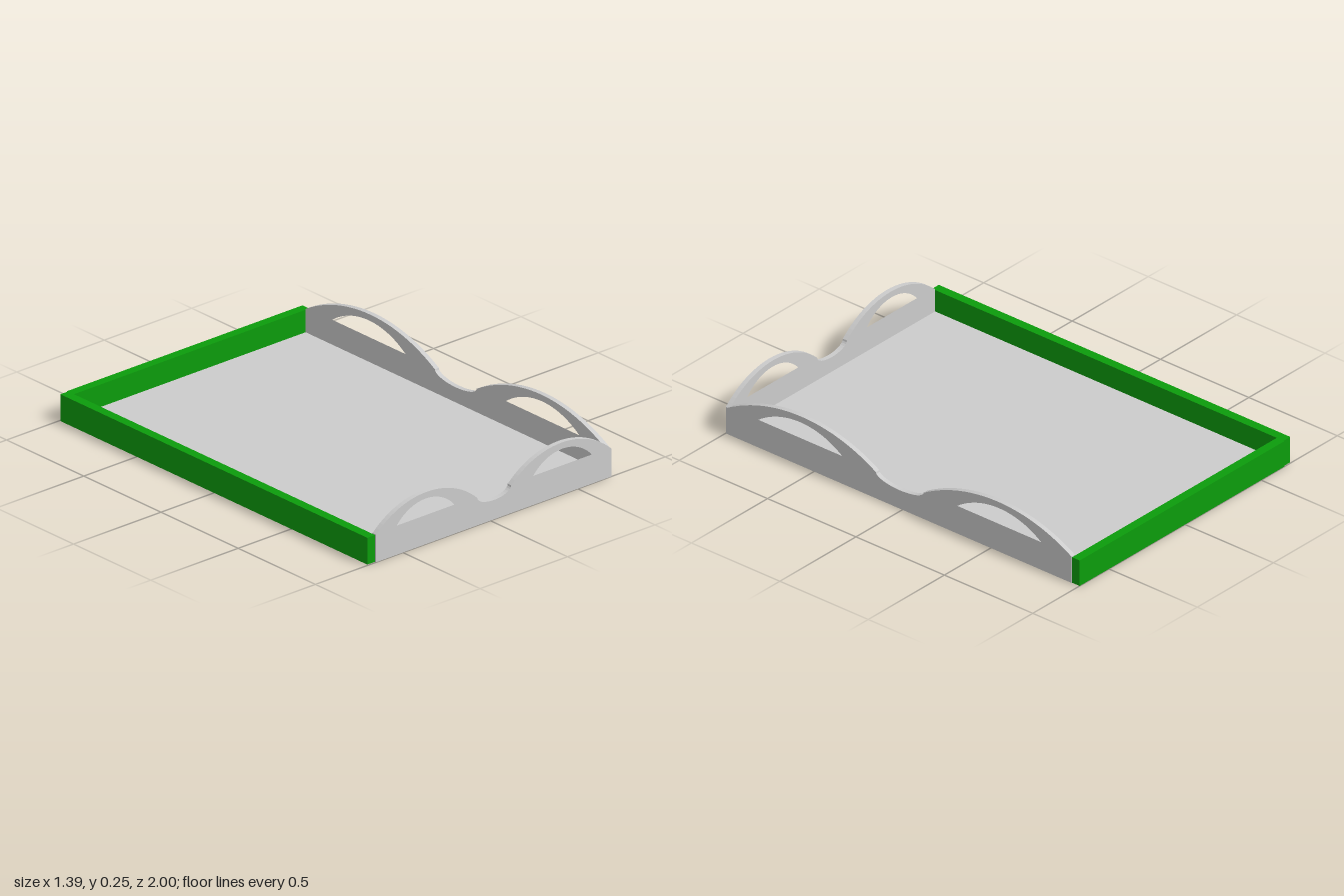
import * as THREE from 'three';

const grey = new THREE.MeshStandardMaterial({ color: 0xcccccc });
const green = new THREE.MeshStandardMaterial({ color: 0x0c9c0c });
const RIM = 0.13, SILL = 0.137, THICK = 0.023;

// Points of a circular arc rising by h above y, from u0 to u1
function arc(u0, u1, y, h, n = 24) {
  const w = (u1 - u0) / 2, mid = (u0 + u1) / 2;
  const r = (w * w + h * h) / (2 * h), half = Math.asin(w / r);
  return Array.from({ length: n + 1 }, (_, i) => {
    const a = -half + (2 * half * i) / n;
    return new THREE.Vector2(mid + r * Math.sin(a), y + h - r + r * Math.cos(a));
  });
}

// Points of a half-ellipse dip of the given depth, from u0 to u1
function dip(u0, u1, y, depth, n = 16) {
  return Array.from({ length: n - 1 }, (_, i) => {
    const a = (Math.PI * (i + 1)) / n;
    return new THREE.Vector2((u0 + u1) / 2 - ((u1 - u0) / 2) * Math.cos(a), y - depth * Math.sin(a));
  });
}

// Panel with two arched humps, a dip between them and an arched window in each
function archedPanel(start, dipStart, dipEnd, end, windows) {
  const shape = new THREE.Shape([
    new THREE.Vector2(start, 0),
    ...arc(start, dipStart, RIM, 0.115),
    ...dip(dipStart, dipEnd, RIM, 0.039),
    ...arc(dipEnd, end, RIM, 0.115),
    new THREE.Vector2(end, 0),
  ]);
  for (const [a, b] of windows) shape.holes.push(new THREE.Path(arc(a, b, SILL, 0.078)));
  return new THREE.ExtrudeGeometry(shape, { depth: THICK, bevelEnabled: false });
}

export function createModel() {
  const tray = new THREE.Group();
  tray.name = 'tray';

  const add = (name, geometry, material) => {
    const mesh = new THREE.Mesh(geometry, material);
    mesh.name = name;
    tray.add(mesh);
  };
  const box = (x0, x1, y0, y1, z0, z1) =>
    new THREE.BoxGeometry(x1 - x0, y1 - y0, z1 - z0)
      .translate((x0 + x1) / 2, (y0 + y1) / 2, (z0 + z1) / 2);

  // Floor, slightly recessed from the underside
  add('floor', box(-0.655, 0.672, 0.004, 0.02, -0.957, 0.976), grey);

  // Plain straight walls
  add('rightWall', box(-0.697, -0.653, 0, 0.126, -0.995, 0.993), green);
  add('backWall', box(-0.653, 0.692, 0, 0.126, -1, -0.957), green);

  // Arched front panel
  const front = archedPanel(-0.653, -0.075, 0.12, 0.694, [[-0.535, -0.205], [0.245, 0.58]]);
  add('frontPanel', front.translate(0, 0, 1 - THICK), grey);

  // Arched side panel, turned to run along z
  const side = archedPanel(-0.957, -0.12, 0.15, 0.99, [[-0.785, -0.31], [0.34, 0.815]]);
  add('leftPanel', side.rotateY(-Math.PI / 2).translate(0.695, 0, 0), grey);

  return tray;
}
